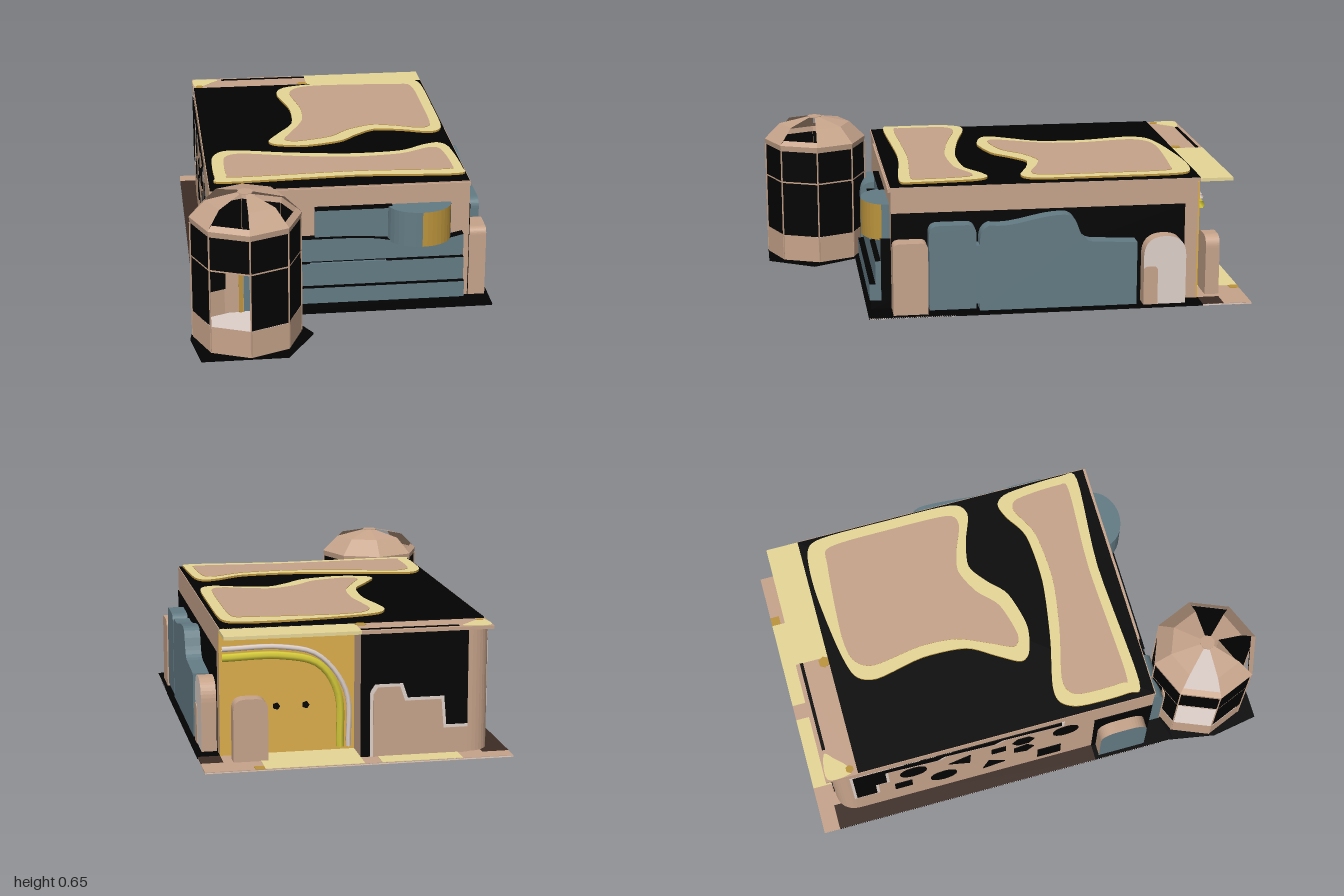
import * as THREE from 'three';

const mat = (name, color) => new THREE.MeshStandardMaterial({ name, color, side: THREE.DoubleSide });
const rose = mat('rose plaster', 0xc7a48b), black = mat('black', 0x020202), blue = mat('slate blue', 0x647c85),
  beige = mat('beige', 0xe8d898), gold = mat('gold', 0xbc943c), pink = mat('pale pink', 0xdfd1cb),
  brown = mat('dark brown', 0x3d2c25), lime = mat('yellow green', 0xd4c93a), lightGold = mat('light gold', 0xdcae4c);

const toShape = (pts) => new THREE.Shape(pts.map(([a, b]) => new THREE.Vector2(a, b)));
// closed smooth outline through a few points
const smooth = (pts, tension = 0.5) => toShape(
  new THREE.CatmullRomCurve3(pts.map(([a, b]) => new THREE.Vector3(a, b, 0)), true, 'catmullrom', tension)
    .getPoints(pts.length * 5).slice(0, -1).map((p) => [p.x, p.y]));
const rect = (a, b, c, d) => toShape([[a, b], [c, b], [c, d], [a, d]]);
// upright panel with a domed top
function arch(a, b, y0, y1, r = (b - a) / 2) {
  const s = new THREE.Shape();
  s.moveTo(a, y0); s.lineTo(b, y0); s.lineTo(b, y1 - r);
  s.quadraticCurveTo(b, y1, b - r, y1); s.lineTo(a + r, y1);
  s.quadraticCurveTo(a, y1, a, y1 - r);
  return s;
}
const ngon = (x, y, r, n, turn = 0) => toShape(Array.from({ length: n }, (_, i) => {
  const t = turn + i / n * Math.PI * 2;
  return [x + r * Math.cos(t), y + r * Math.sin(t)];
}));

export function createModel() {
  const model = new THREE.Group();
  const add = (name, geo, material) => {
    const m = new THREE.Mesh(geo, material);
    m.name = name;
    model.add(m);
    return m;
  };
  const box = (name, x0, x1, y0, y1, z0, z1, m) =>
    add(name, new THREE.BoxGeometry(x1 - x0, y1 - y0, z1 - z0), m)
      .position.set((x0 + x1) / 2, (y0 + y1) / 2, (z0 + z1) / 2);
  const extrude = (shape, depth) => new THREE.ExtrudeGeometry(shape, { depth, bevelEnabled: false, curveSegments: 10 });
  // plan outline (x, z) between two heights
  const slab = (name, shape, y0, y1, m) =>
    add(name, extrude(shape, y1 - y0).rotateX(Math.PI / 2).translate(0, y1, 0), m);
  // wall reliefs: front (x, y), right (-z, y), left (z, y), back (-x, y), growing outward from a plane
  const front = (name, s, z, d, m) => add(name, extrude(s, d).translate(0, 0, z), m);
  const right = (name, s, x, d, m) => add(name, extrude(s, d).rotateY(Math.PI / 2).translate(x, 0, 0), m);
  const left = (name, s, x, d, m) => add(name, extrude(s, d).rotateY(-Math.PI / 2).translate(x, 0, 0), m);
  const back = (name, s, z, d, m) => add(name, extrude(s, d).rotateY(Math.PI).translate(0, 0, z), m);

  // base plate, ground paint and underside marks
  box('basePlate', -0.61, 0.64, 0.017, 0.022, -1, 0.61, pink);
  box('groundFront', -0.61, 0.64, 0.0175, 0.025, 0.25, 0.612, black);
  box('groundRight', 0.55, 0.642, 0.0175, 0.025, -0.79, 0.25, black);
  box('groundLeft', -0.61, -0.5, 0.021, 0.025, -0.93, 0.25, brown);
  box('groundBack', -0.61, 0.64, 0.021, 0.024, -1, -0.75, rose);
  box('groundBackShade', 0.55, 0.64, 0.022, 0.026, -0.88, -0.79, brown);
  box('groundBackLeftPath', -0.4, -0.07, 0.022, 0.026, -1, -0.9, beige);
  box('groundBackPath', 0, 0.4, 0.022, 0.026, -1, -0.78, beige);
  box('groundBackSpot', 0.4, 0.44, 0.022, 0.026, -1, -0.96, gold);
  box('undersideBack', -0.61, 0.64, 0.0155, 0.0175, -1, -0.93, rose);
  slab('undersidePatch', toShape([[-0.61, -0.93], [-0.05, -0.92], [-0.2, -0.75], [-0.2, -0.6], [-0.14, -0.5],
    [-0.25, -0.3], [-0.34, -0.08], [-0.46, 0.1], [-0.54, 0.5], [-0.61, 0.55]]), 0.0135, 0.0175, black);
  slab('undersideBand', toShape([[0.5, -0.62], [0.36, -0.64], [0.12, -0.6], [0.1, -0.5], [0.3, -0.47], [0.46, -0.52]]),
    0.0135, 0.0175, black);
  box('undersideBlock', 0.12, 0.24, 0.0135, 0.0175, 0.46, 0.57, black);
  slab('undersideHub', ngon(0.02, -0.15, 0.075, 16), 0, 0.0175, black);
  for (let i = 0; i < 5; i++) {
    const t = i / 5 * Math.PI * 2 + 0.3;
    slab('undersideStar', ngon(0.02 + 0.13 * Math.cos(t), -0.15 + 0.13 * Math.sin(t), 0.022, 3, t), 0.01, 0.0175, black);
  }

  // main body with one rounded back corner
  const plan = new THREE.Shape();
  plan.moveTo(-0.54, 0.51); plan.lineTo(-0.54, -0.81);
  plan.quadraticCurveTo(-0.54, -0.91, -0.44, -0.91);
  plan.lineTo(0, -0.91); plan.lineTo(0, -0.78); plan.lineTo(0.55, -0.78); plan.lineTo(0.55, 0.51);
  slab('body', plan, 0.022, 0.535, rose);

  // roof with thin raised beds
  box('roofTrim', -0.54, 0.55, 0.535, 0.549, -0.79, 0.515, rose);
  box('roofTrimLip', -0.28, 0.55, 0.53, 0.545, 0.51, 0.523, rose);
  box('roofDeck', -0.537, 0.547, 0.546, 0.551, -0.79, 0.511, black);
  box('backCanopyRight', 0, 0.55, 0.532, 0.546, -0.93, -0.79, beige);
  box('backCanopyLeft', -0.54, 0, 0.532, 0.546, -0.93, -0.79, rose);
  box('canopyGroove', -0.4, 0, 0.545, 0.549, -0.912, -0.898, black);
  slab('canopySpot', smooth([[-0.53, -0.92], [-0.42, -0.91], [-0.45, -0.87], [-0.49, -0.83], [-0.53, -0.82]]), 0.545, 0.548, beige);
  slab('canopySpotGold', ngon(-0.51, -0.82, 0.018, 6), 0.545, 0.5485, gold);
  slab('canopyMiddleGold', ngon(-0.02, -0.81, 0.025, 6), 0.545, 0.5485, gold);
  const beds = [
    [[[-0.16, -0.61], [-0.12, -0.7], [0.03, -0.74], [0.3, -0.77], [0.48, -0.76], [0.53, -0.69], [0.535, -0.4], [0.53, -0.1],
      [0.47, -0.04], [0.35, -0.08], [0.23, -0.1], [0.14, -0.04], [0.06, 0.03], [-0.1, 0.07], [-0.22, 0.045], [-0.25, 0],
      [-0.2, -0.09], [-0.13, -0.21], [-0.12, -0.4]],
    [[-0.1, -0.61], [-0.05, -0.69], [0.08, -0.71], [0.4, -0.69], [0.48, -0.66], [0.49, -0.4], [0.485, -0.13], [0.43, -0.09],
      [0.32, -0.13], [0.22, -0.15], [0.11, -0.1], [0.02, -0.02], [-0.13, 0.02], [-0.18, -0.01], [-0.14, -0.1],
      [-0.08, -0.24], [-0.07, -0.4]]],
    [[[-0.51, 0.19], [-0.47, 0.11], [-0.39, 0.1], [-0.18, 0.15], [0.08, 0.19], [0.3, 0.18], [0.41, 0.12], [0.48, 0.1],
      [0.52, 0.16], [0.535, 0.4], [0.5, 0.47], [0.08, 0.44], [-0.47, 0.46], [-0.51, 0.4]],
    [[-0.46, 0.2], [-0.42, 0.15], [-0.35, 0.15], [-0.15, 0.2], [0.08, 0.235], [0.3, 0.22], [0.43, 0.16], [0.48, 0.19],
      [0.495, 0.38], [0.46, 0.42], [0.08, 0.4], [-0.42, 0.415], [-0.46, 0.38]]]];
  for (const [rim, fill] of beds) {
    slab('roofBedRim', smooth(rim, 0.4), 0.559, 0.568, [beige, gold]);
    slab('roofBedFill', smooth(fill, 0.4), 0.566, 0.57, [rose, gold]);
  }

  // front counter: stepped tiers with dark tops, wavy upper tier, niche and rounded bay
  const wave = new THREE.Shape();
  wave.moveTo(-0.3, 0.06); wave.lineTo(0.52, 0.06); wave.lineTo(0.52, 0.325);
  wave.bezierCurveTo(0.42, 0.3, 0.33, 0.285, 0.22, 0.31);
  wave.bezierCurveTo(0.12, 0.335, 0.05, 0.33, -0.3, 0.33);
  front('frontWave', wave, 0.505, 0.047, [blue, black]);
  const tier = [blue, blue, black, black, blue, blue];
  box('frontMiddleTier', -0.26, 0.518, 0.06, 0.23, 0.505, 0.575, tier);
  box('frontLowerTier', -0.2, 0.518, 0.06, 0.13, 0.505, 0.6, tier);
  box('frontTierLip', -0.13, 0.19, 0.225, 0.232, 0.566, 0.577, blue);
  box('frontPlinth', -0.18, 0.52, 0.024, 0.06, 0.5, 0.595, black);
  box('upperNiche', -0.105, 0.24, 0.32, 0.455, 0.5, 0.53, blue);
  box('upperNicheLid', -0.105, 0.22, 0.45, 0.46, 0.5, 0.534, black);
  const bay = (name, t0, t1, m) => slab(name, toShape([[0.335, 0.5], ...Array.from({ length: 9 }, (_, i) => {
    const t = t0 + (t1 - t0) * i / 8;
    return [0.335 + 0.135 * Math.cos(t), 0.51 + 0.11 * Math.sin(t)];
  })]), 0.305, 0.458, m);
  bay('bayBlueEnd', 0, 0.3, blue);
  bay('bayGold', 0.3, Math.PI / 2, [blue, gold]);
  bay('bayBlue', Math.PI / 2, Math.PI, blue);

  // right wall: dark field with extruded silhouettes
  right('rightField', rect(-0.51, 0.024, 0.725, 0.44), 0.549, 0.004, black);
  right('rightHumpFront', arch(-0.51, -0.365, 0.024, 0.33, 0.03), 0.55, 0.075, rose);
  right('rightHumpTall', arch(-0.36, -0.165, 0.04, 0.4, 0.04), 0.55, 0.07, blue);
  const hill = new THREE.Shape();
  hill.moveTo(-0.15, 0.03); hill.lineTo(0.51, 0.03); hill.lineTo(0.51, 0.3); hill.lineTo(0.32, 0.31);
  hill.bezierCurveTo(0.24, 0.32, 0.28, 0.43, 0.2, 0.43);
  hill.bezierCurveTo(0.08, 0.43, 0, 0.38, -0.11, 0.395);
  hill.quadraticCurveTo(-0.15, 0.38, -0.15, 0.33);
  right('rightHill', hill, 0.55, 0.07, blue);
  right('rightHillFoot', rect(-0.19, 0.06, -0.14, 0.31), 0.55, 0.067, blue);
  right('rightArch', arch(0.54, 0.72, 0.024, 0.32), 0.55, 0.065, [pink, rose]);
  right('rightArchStep', arch(0.54, 0.6, 0.024, 0.19, 0.02), 0.613, 0.005, rose);

  // left wall: ragged dark band with pale edge, cut-out shapes and blue arch by the tower
  const band = [[-0.82, 0.5], [-0.82, 0.2], [-0.73, 0.2], [-0.73, 0.32], [-0.68, 0.32], [-0.68, 0.46], [-0.45, 0.44],
    [-0.42, 0.47], [-0.2, 0.45], [-0.16, 0.48], [0.1, 0.46], [0.1, 0.5]];
  left('leftBandEdge', toShape(band.map(([z, y]) => [z + (z < -0.79 ? -0.012 : 0.012), y - (y < 0.5 ? 0.012 : 0)])), -0.539, 0.003, pink);
  left('leftBand', toShape(band), -0.539, 0.005, black);
  const cuts = [[-0.56, 0.36, 0.06, 16], [-0.34, 0.33, 0.065, 3], [-0.07, 0.38, 0.05, 6], [0.12, 0.37, 0.058, 16],
    [-0.61, 0.21, 0.055, 4], [-0.43, 0.19, 0.06, 16], [-0.21, 0.17, 0.06, 3], [0.05, 0.13, 0.075, 4], [-0.07, 0.27, 0.05, 5],
    [-0.18, 0.34, 0.045, 4]];
  cuts.forEach(([z, y, r, n], i) =>
    left('leftCutout', ngon(z, y, r, n, n === 4 ? Math.PI / 4 : n === 3 ? i : 0), -0.539, 0.004, black));
  left('leftField', rect(0.25, 0.024, 0.51, 0.4), -0.539, 0.004, black);
  left('leftArch', arch(0.27, 0.48, 0.024, 0.31, 0.08), -0.54, 0.055, [blue, rose]);
  left('towerLink', arch(0.4, 0.58, 0.024, 0.36, 0.06), -0.3, 0.2, blue);
  front('towerDoor', arch(-0.5, -0.41, 0.03, 0.37, 0.04), 0.579, 0.006, rose);
  front('towerDoorEdge', rect(-0.43, 0.03, -0.412, 0.33), 0.584, 0.004, gold);

  // back: dark panel with rose silhouette, golden entry with arch lines
  back('backField', rect(0, 0.024, 0.44, 0.53), -0.909, 0.004, black);
  const steps = [[0.05, 0.024], [0.05, 0.28], [0.07, 0.31], [0.16, 0.31], [0.18, 0.25], [0.33, 0.25], [0.34, 0.13],
    [0.44, 0.13], [0.44, 0.024]];
  back('backSilhouetteEdge', toShape(steps.map(([a, b]) => [a - (a < 0.1 ? 0.012 : -0.012 * (a < 0.43)), b + (b > 0.1 ? 0.012 : 0)])),
    -0.91, 0.005, pink);
  back('backSilhouette', toShape(steps), -0.91, 0.008, rose);
  back('entryWall', rect(-0.55, 0.024, 0, 0.53), -0.779, 0.008, lightGold);
  const archLine = (name, o, r, m) => add(name, new THREE.TubeGeometry(new THREE.CatmullRomCurve3([
    [0.54, 0.43 + o], [0.3, 0.43 + o], [0.15, 0.39 + o], [0.07 - o, 0.27], [0.06 - o, 0.04],
  ].map(([x, y]) => new THREE.Vector3(x, y, -0.795))), 24, r, 6), m);
  archLine('entryArchLine', 0, 0.017, lime);
  archLine('entryArchTrim', 0.035, 0.011, pink);
  for (const x of [0.2, 0.32]) back('entryKnob', ngon(-x, 0.22, 0.015, 5), -0.785, 0.01, black);
  back('entryStone', arch(-0.51, -0.37, 0.024, 0.28, 0.05), -0.83, 0.06, rose);

  // octagonal corner tower
  const cx = -0.41, cz = 0.775, R = 0.223, step = Math.PI / 4;
  const facet = (name, k, r1, r0, y0, y1, m) => {
    const g = new THREE.CylinderGeometry(r1, r0, y1 - y0, 1, 1, true, k * step, step).toNonIndexed();
    g.computeVertexNormals();
    add(name, g, m).position.set(cx, (y0 + y1) / 2, cz);
  };
  slab('towerGround', toShape([[-0.61, 0.6], [-0.645, 0.8], [-0.61, 1], [-0.26, 1], [-0.14, 0.8], [-0.25, 0.6]]), 0.0175, 0.0235, black);
  slab('towerUnderside', ngon(cx, cz, 0.21, 8), 0.0145, 0.018, pink);
  slab('towerFloor', ngon(cx, cz, 0.215, 8), 0.025, 0.03, pink);
  for (let k = 0; k < 8; k++) {
    facet('towerBase', k, R, R, 0.022, 0.14, rose);
    if (k !== 5 && k !== 7) facet('towerLowerPane', k, R - 0.002, R - 0.002, 0.14, 0.385, black);
    facet('towerUpperPane', k, R - 0.002, R - 0.002, 0.385, 0.53, black);
    facet('towerRail', k, R + 0.001, R + 0.001, 0.382, 0.389, rose);
    facet('towerCornice', k, R + 0.004, R, 0.528, 0.553, rose);
    const px = cx + R * Math.sin(k * step), pz = cz + R * Math.cos(k * step);
    slab('towerPost', ngon(px, pz, 0.0035, 4), 0.03, 0.53, rose);
    // three dome bays stay open above a narrow rim
    if (k % 2 === 1 && k !== 3) {
      facet('domeRim', k, 0.205, R + 0.004, 0.553, 0.572, rose);
    } else {
      facet('domeSide', k, 0.157, R + 0.004, 0.553, 0.622, rose);
      facet('domeTop', k, 0.03, 0.157, 0.622, 0.65, rose);
    }
  }
  slab('domeCap', ngon(cx, cz, 0.032, 8), 0.647, 0.652, rose);
  return model;
}
